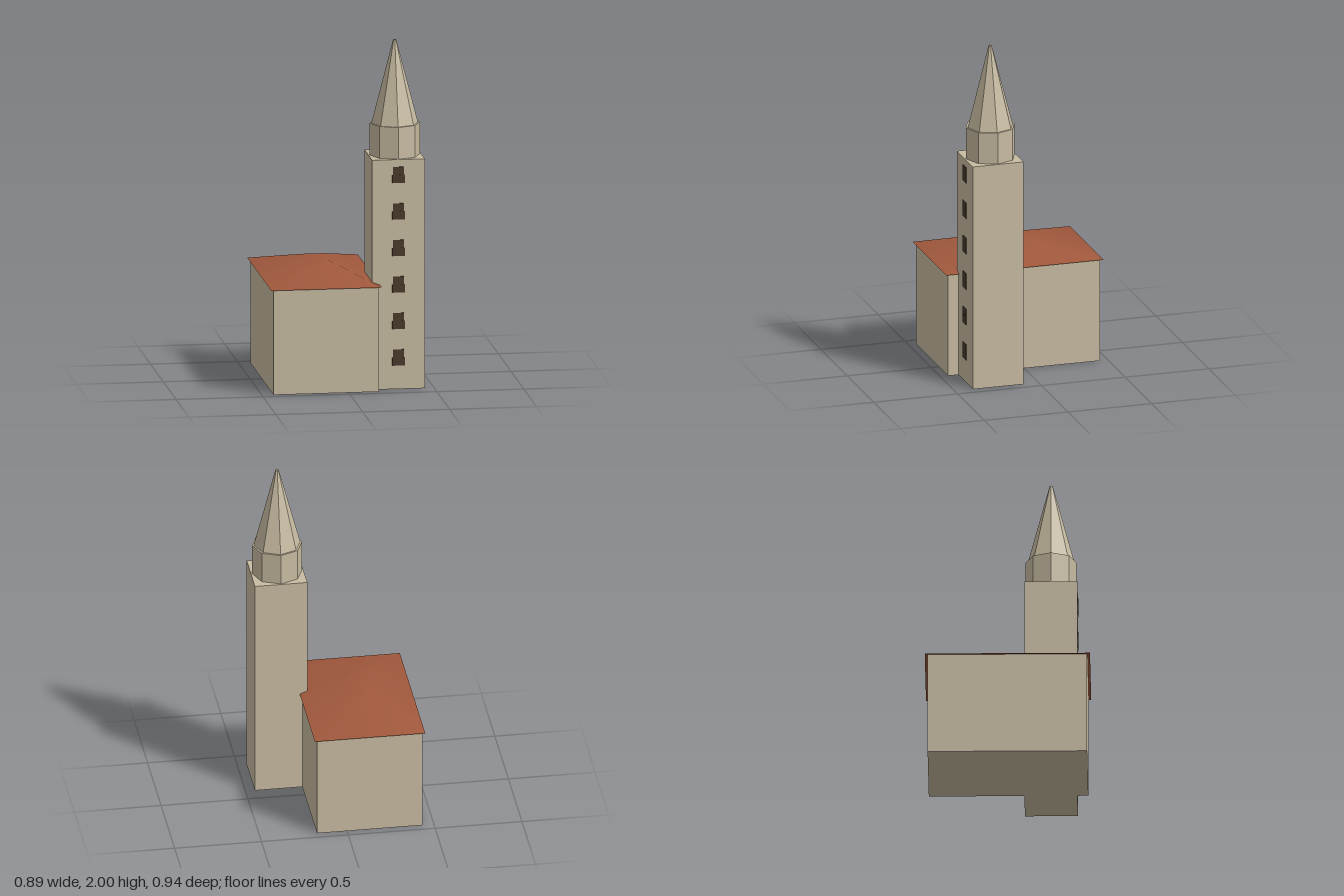
import * as THREE from 'three';
import { toCreasedNormals } from 'three/addons/utils/BufferGeometryUtils.js';

export function createModel() {
  const model = new THREE.Group();
  model.name = 'churchWithTower';

  const material = (name, color) => {
    const m = new THREE.MeshStandardMaterial({ color });
    m.name = name;
    return m;
  };
  const stone = material('stone', 0xc8bca2);
  const tile = material('roof tile', 0xa0583c);
  const dark = material('window dark', 0x4a3a2c);

  const add = (parent, name, geometry, mat, x, y, z) => {
    const mesh = new THREE.Mesh(geometry, mat);
    mesh.name = name;
    mesh.position.set(x, y, z);
    parent.add(mesh);
    return mesh;
  };

  // Nave with a shallow hipped roof, flat on top
  const nave = new THREE.Group();
  nave.name = 'nave';
  nave.position.x = -0.13;
  model.add(nave);
  add(nave, 'naveWalls', new THREE.BoxGeometry(0.606, 0.608, 0.908), stone, 0, 0.304, 0);

  const roof = new THREE.CylinderGeometry(0.2 * Math.SQRT1_2, Math.SQRT1_2, 0.092, 4)
    .rotateY(Math.PI / 4)
    .scale(0.636, 1, 0.94);
  add(nave, 'roof', toCreasedNormals(roof, 0.6), tile, 0, 0.654, 0);

  // Square tower with octagonal belfry and spire
  const tower = new THREE.Group();
  tower.name = 'tower';
  tower.position.set(0.295, 0, 0.241);
  model.add(tower);
  add(tower, 'towerShaft', new THREE.BoxGeometry(0.302, 1.333, 0.302), stone, 0, 0.6665, 0);

  const octagon = (top, bottom, height) =>
    toCreasedNormals(new THREE.CylinderGeometry(top, bottom, height, 8), 0.1);
  add(tower, 'belfry', octagon(0.145, 0.145, 0.185), stone, 0, 1.4255, 0);
  add(tower, 'spire', octagon(0.009, 0.134, 0.482), stone, 0, 1.759, 0);

  // Front windows, each a pane with a slightly wider lower half
  const pane = new THREE.BoxGeometry(0.064, 0.094, 0.006);
  const lowerPane = new THREE.BoxGeometry(0.072, 0.048, 0.007);
  for (let i = 0; i < 6; i++) {
    const y = 0.183 + i * 0.2122;
    add(tower, 'windowPane', pane, dark, 0, y, 0.151);
    add(tower, 'windowLowerPane', lowerPane, dark, 0, y - 0.023, 0.151);
  }

  return model;
}
